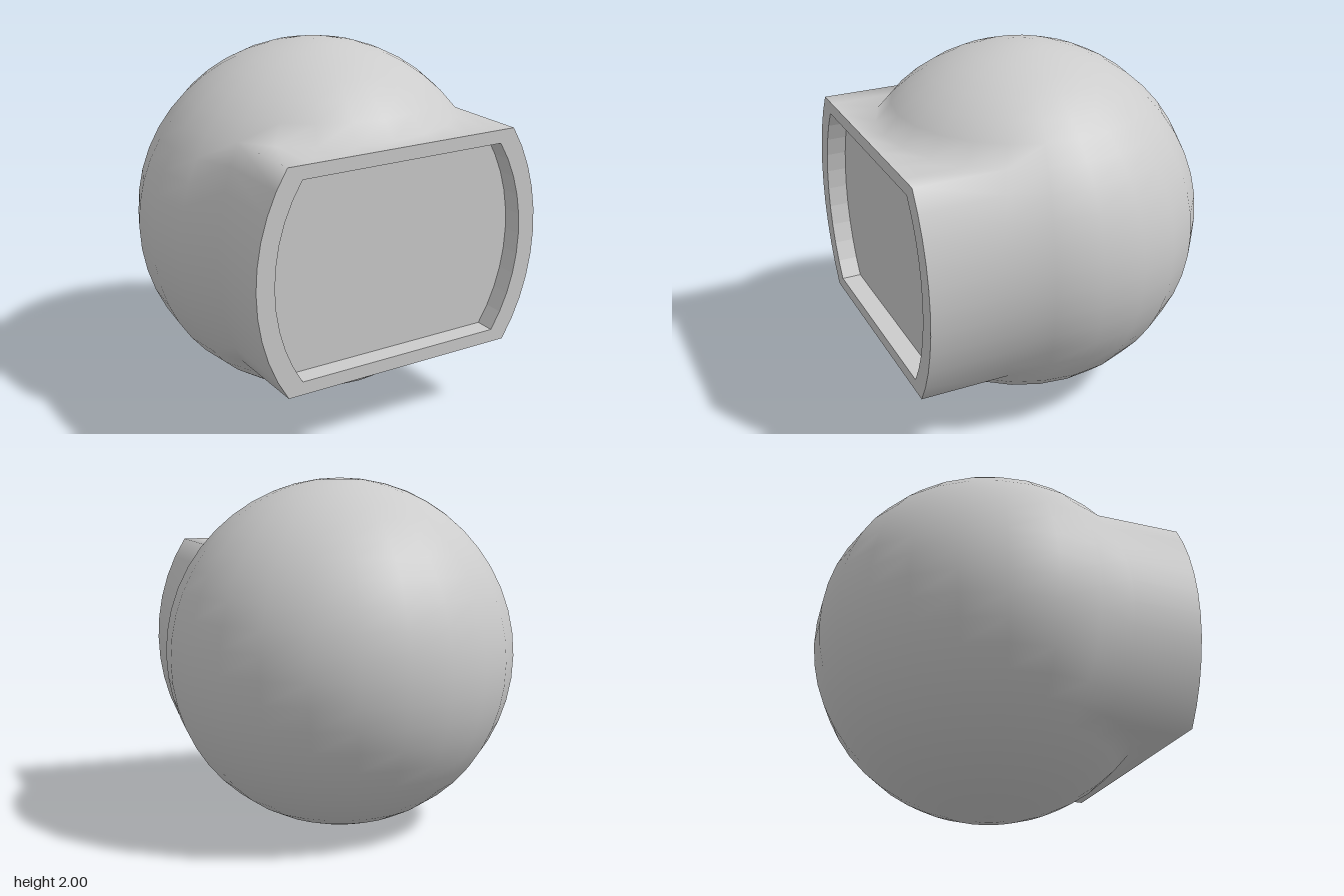
import * as THREE from 'three';
import { mergeVertices } from 'three/addons/utils/BufferGeometryUtils.js';

const LON = 24, LAT = 24;          // sphere divisions
const OPEN_LON = 4, OPEN_LAT = 5;  // half extent of the front opening, in divisions
const CY = 1, CZ = 0.05;           // sphere centre
const FRONT = 0.95, RECESS = 0.84, INSET = 0.88;

// Point on the unit sphere; i counts from the front, j from the equator
function ballPoint(i, j) {
  const lon = (i / LON) * Math.PI * 2, lat = (j / LAT) * Math.PI;
  return new THREE.Vector3(
    Math.sin(lon) * Math.cos(lat), CY + Math.sin(lat), CZ + Math.cos(lon) * Math.cos(lat));
}

function addQuad(out, a, b, c, d) {
  for (const p of [a, b, c, a, c, d]) out.push(p.x, p.y, p.z);
}

// Closed band of quads between two rings
function addBand(out, from, to) {
  from.forEach((p, k) => {
    const n = (k + 1) % from.length;
    addQuad(out, p, from[n], to[n], to[k]);
  });
}

function toGeometry(points, smooth) {
  let geo = new THREE.BufferGeometry();
  geo.setAttribute('position', new THREE.Float32BufferAttribute(points, 3));
  if (smooth) geo = mergeVertices(geo, 1e-4);
  geo.computeVertexNormals();
  return geo;
}

export function createModel() {
  const group = new THREE.Group();
  const material = new THREE.MeshStandardMaterial({ color: 0xcccccc, side: THREE.DoubleSide });
  const add = (name, geometry) => {
    const mesh = new THREE.Mesh(geometry, material);
    mesh.name = name;
    group.add(mesh);
  };

  // Edge of the opening, counter-clockwise seen from the front
  const edge = [];
  for (let i = -OPEN_LON; i < OPEN_LON; i++) edge.push(ballPoint(i, -OPEN_LAT));
  for (let j = -OPEN_LAT; j < OPEN_LAT; j++) edge.push(ballPoint(OPEN_LON, j));
  for (let i = OPEN_LON; i > -OPEN_LON; i--) edge.push(ballPoint(i, OPEN_LAT));
  for (let j = OPEN_LAT; j > -OPEN_LAT; j--) edge.push(ballPoint(-OPEN_LON, j));

  // The same outline, scaled and moved to a given depth
  const outline = (scale, z) =>
    edge.map((p) => new THREE.Vector3(p.x * scale, CY + (p.y - CY) * scale, z));
  const rimOuter = outline(1, FRONT);
  const rimInner = outline(INSET, FRONT);
  const panelEdge = outline(INSET, RECESS);

  // Ball with its front patch drawn forward into a straight hood
  const shell = [];
  for (let i = -LON / 2; i < LON / 2; i++) {
    for (let j = -LAT / 2; j < LAT / 2; j++) {
      const open = i >= -OPEN_LON && i < OPEN_LON && j >= -OPEN_LAT && j < OPEN_LAT;
      if (!open) {
        addQuad(shell, ballPoint(i, j), ballPoint(i + 1, j),
          ballPoint(i + 1, j + 1), ballPoint(i, j + 1));
      }
    }
  }
  addBand(shell, edge, rimOuter);
  add('ballAndHood', toGeometry(shell, true));

  // Flat front rim
  const rim = [];
  addBand(rim, rimOuter, rimInner);
  add('frontRim', toGeometry(rim, false));

  // Wall of the recess
  const wall = [];
  addBand(wall, rimInner, panelEdge);
  add('recessWall', toGeometry(wall, false));

  // Flat panel at the back of the recess
  const panel = new THREE.ShapeGeometry(
    new THREE.Shape(panelEdge.map((p) => new THREE.Vector2(p.x, p.y))));
  panel.translate(0, 0, RECESS);
  add('screenPanel', panel);

  return group;
}
